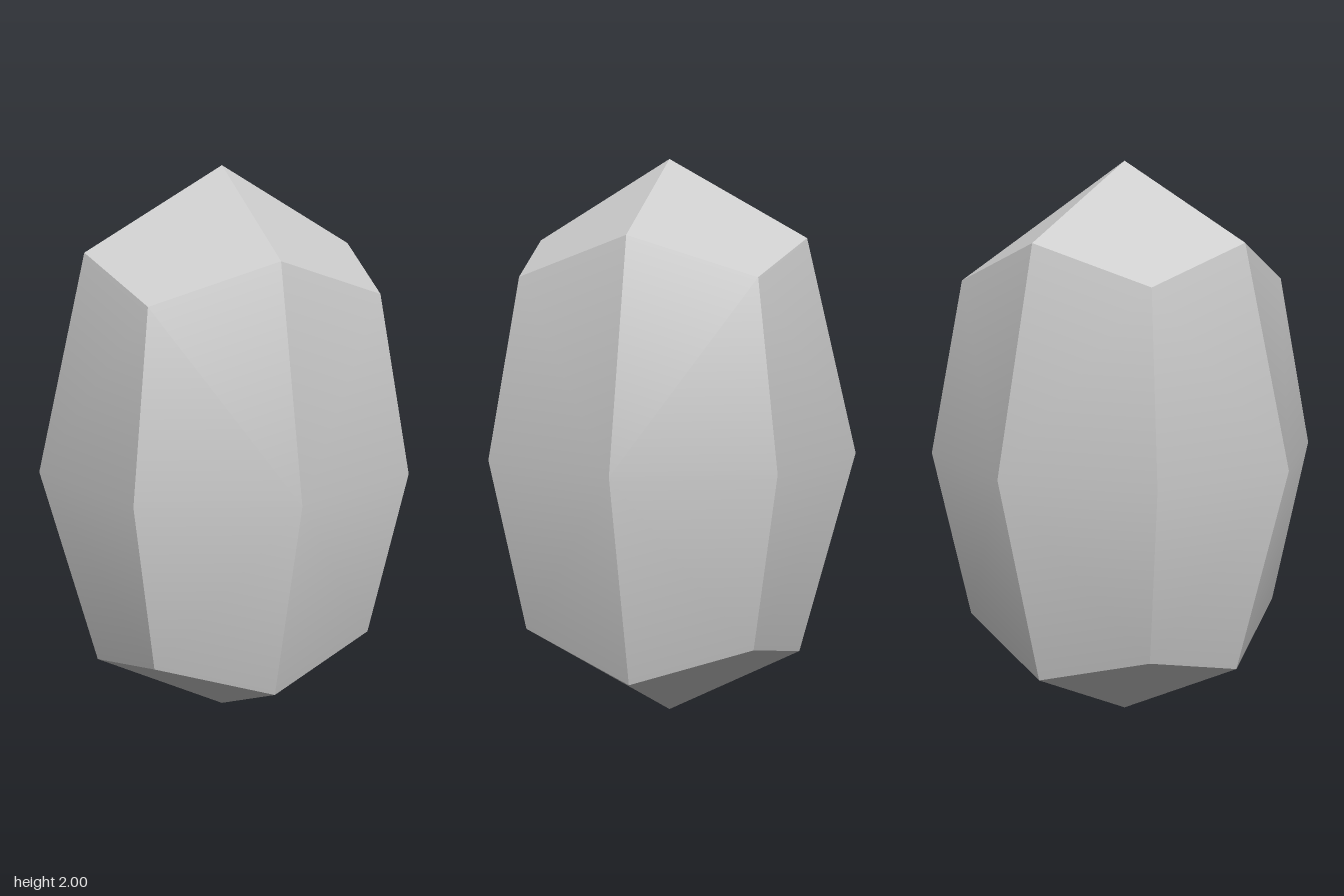
import * as THREE from 'three';

// Half sizes of the stone, and how far edge and corner points reach
const HALF = [0.665, 1, 0.665];
const EDGE = 0.727;
const CORNER = 0.598;

// Cube-sphere of 24 kites: three per octant, one around each axis
function stoneGeometry() {
  const positions = [];
  const normals = [];

  const point = (signs, axes, reach) => {
    const p = [0, 0, 0];
    for (const a of axes) p[a] = signs[a] * reach * HALF[a];
    return new THREE.Vector3(...p);
  };

  for (const sx of [1, -1]) for (const sy of [1, -1]) for (const sz of [1, -1]) {
    const signs = [sx, sy, sz];
    for (let a = 0; a < 3; a++) {
      const b = (a + 1) % 3, c = (a + 2) % 3;
      const kite = [
        point(signs, [a], 1),
        point(signs, [a, b], EDGE),
        point(signs, [a, b, c], CORNER),
        point(signs, [a, c], EDGE),
      ];
      if (sx * sy * sz < 0) kite.reverse();

      // One normal per kite, from its diagonals
      const d1 = kite[2].clone().sub(kite[0]);
      const d2 = kite[3].clone().sub(kite[1]);
      const normal = d1.cross(d2).normalize();

      // The shallow waist crease is smooth; every other edge stays sharp
      const waist = new THREE.Vector3(normal.x, 0, normal.z).normalize();

      // Split from the face centre to the corner point
      const order = sx * sy * sz < 0 ? [3, 0, 1, 3, 1, 2] : [0, 1, 2, 0, 2, 3];
      for (const i of order) {
        const p = kite[i];
        const n = a !== 1 && Math.abs(p.y) < 1e-6 ? waist : normal;
        positions.push(p.x, p.y + HALF[1], p.z);
        normals.push(n.x, n.y, n.z);
      }
    }
  }

  const geometry = new THREE.BufferGeometry();
  geometry.setAttribute('position', new THREE.Float32BufferAttribute(positions, 3));
  geometry.setAttribute('normal', new THREE.Float32BufferAttribute(normals, 3));
  return geometry;
}

export function createModel() {
  const group = new THREE.Group();
  group.name = 'facetedStone';

  const paleGrey = new THREE.MeshStandardMaterial({ color: 0xcccccc });
  paleGrey.name = 'pale grey';

  const stone = new THREE.Mesh(stoneGeometry(), paleGrey);
  stone.name = 'stoneBody';
  group.add(stone);
  return group;
}
